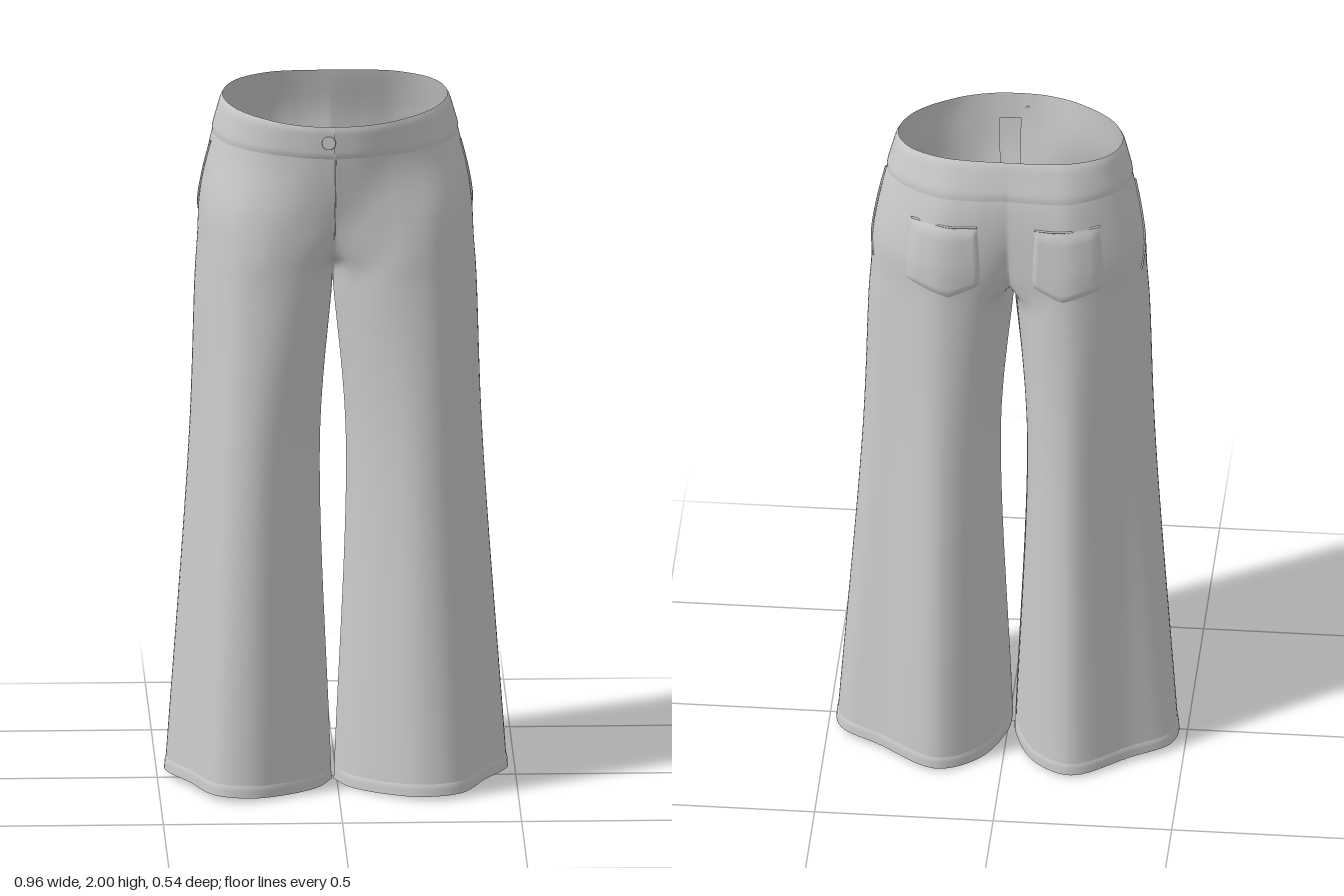
import * as THREE from 'three';
import { mergeGeometries, mergeVertices } from 'three/addons/utils/BufferGeometryUtils.js';

const material = new THREE.MeshStandardMaterial({ color: 0xcccccc, side: THREE.DoubleSide });

// Half sections [x, z], running from the inner front around the outside to the inner back
const legs = [
  [[.003, .03], [.05, .13], [.14, .215], [.24, .265], [.34, .245], [.41, .11], [.475, -.01], [.46, -.1], [.35, -.17], [.19, -.265], [.08, -.2], [.015, -.06], [.003, .03]],
  [[.036, .03], [.06, .12], [.13, .195], [.22, .235], [.3, .215], [.365, .12], [.408, 0], [.395, -.08], [.32, -.145], [.19, -.235], [.09, -.19], [.05, -.08], [.036, .03]],
  [[0, .03], [.03, .14], [.1, .2], [.19, .22], [.28, .2], [.35, .125], [.392, 0], [.38, -.08], [.32, -.145], [.19, -.222], [.08, -.19], [.025, -.09], [0, .03]],
];
const hips = [
  [[0, .16], [.05, .19], [.12, .21], [.2, .22], [.28, .195], [.345, .125], [.385, 0], [.375, -.08], [.32, -.145], [.19, -.22], [.09, -.2], [.03, -.165], [0, -.13]],
  [[0, .205], [.06, .21], [.13, .215], [.2, .21], [.275, .185], [.34, .12], [.378, 0], [.37, -.08], [.315, -.15], [.19, -.22], [.09, -.21], [.035, -.195], [0, -.18]],
  [[0, .24], [.07, .232], [.14, .212], [.2, .19], [.26, .155], [.315, .1], [.35, 0], [.34, -.07], [.29, -.135], [.185, -.2], [.1, -.205], [.04, -.2], [0, -.195]],
  [[0, .255], [.07, .248], [.14, .225], [.19, .195], [.24, .155], [.285, .1], [.313, .02], [.305, -.05], [.265, -.11], [.18, -.155], [.11, -.166], [.05, -.168], [0, -.168]],
];
const sections = [...legs, ...hips];
const CROTCH = 2, TOP = sections.length - 1, LAST = 12;

// Section heights: a wavering hem and a waist that rises towards the back
const heights = [(x) => .004 + .04 * x, () => 1, () => 1.46, () => 1.56, () => 1.68,
  (x, z) => 1.84 - .06 * z, (x, z) => 1.98 - .12 * z];

// Smooth curves running up the garment, one per section point
const columns = sections[0].map((_, j) => new THREE.CatmullRomCurve3(
  sections.map((s, k) => new THREE.Vector3(s[j][0], heights[k](...s[j]), s[j][1]))));

const rows = new Map();
function rowAt(t) {
  if (!rows.has(t)) {
    const points = columns.map((c) => c.getPoint(t / TOP));
    points.forEach((p) => { p.x = Math.max(p.x, 0); });
    const a = points[0], b = points[LAST];
    if (t <= CROTCH) {
      // The leg closes along the inseam
      a.lerp(b, .5);
      b.copy(a);
    } else a.x = b.x = 0;
    rows.set(t, new THREE.CatmullRomCurve3(points));
  }
  return rows.get(t);
}

// Point on the cloth; side is 1 for left, -1 for right
function cloth(side, u, t) {
  const p = rowAt(t).getPoint(THREE.MathUtils.clamp(u / LAST, 0, 1));
  p.x = side * p.x - .012 * Math.max(0, 1 - p.x / .48);
  return p;
}

// Point lifted off the cloth along its outward normal
function lifted(side, u, t, lift) {
  const p = cloth(side, u, t), e = .02;
  if (!lift) return p;
  const u0 = Math.max(u - e, 0), u1 = Math.min(u + e, LAST);
  const t0 = Math.max(t - e, 0), t1 = Math.min(t + e, TOP);
  const du = cloth(side, u1, t).sub(cloth(side, u0, t));
  const dt = cloth(side, u, t1).sub(cloth(side, u, t0));
  return p.addScaledVector(du.cross(dt).normalize(), side * lift);
}

// Grid surface from a point rule over a, b in 0..1
function grid(side, na, nb, rule) {
  const positions = [], index = [];
  for (let j = 0; j <= nb; j++) {
    for (let i = 0; i <= na; i++) {
      positions.push(...rule(i / na, j / nb).toArray());
      if (i === na || j === nb) continue;
      const p = j * (na + 1) + i, q = p + na + 1;
      if (side > 0) index.push(p, p + 1, q + 1, p, q + 1, q);
      else index.push(p, q + 1, p + 1, p, q, q + 1);
    }
  }
  const g = new THREE.BufferGeometry();
  g.setAttribute('position', new THREE.Float32BufferAttribute(positions, 3));
  g.setIndex(index);
  return g;
}

function mesh(name, geometry) {
  const m = new THREE.Mesh(geometry, material);
  m.name = name;
  return m;
}

function smooth(name, geometries) {
  const g = mergeVertices(mergeGeometries(geometries), 1e-5);
  g.computeVertexNormals();
  return mesh(name, g);
}

// Thin raised stitching along [u, t] points on the cloth
function seam(name, side, points, radius = .003) {
  const path = new THREE.CatmullRomCurve3(points.map(([u, t]) => lifted(side, u, t, .002)));
  return mesh(name, new THREE.TubeGeometry(path, 24, radius, 6));
}

export function createModel() {
  const group = new THREE.Group();
  group.name = 'trousers';
  const sides = [1, -1];

  // Legs and hips as one continuous cloth
  group.add(smooth('cloth', sides.map((s) =>
    grid(s, 72, 72, (a, b) => cloth(s, a * LAST, b * TOP)))));

  // Waistband, slightly raised with a rounded lower edge
  group.add(smooth('waistband', sides.map((s) =>
    grid(s, 60, 10, (a, b) => lifted(s, a * LAST, 5.22 + .78 * b, .004 * Math.min(1, b * 8, (1 - b) * 8))))));

  // Turned hems
  group.add(smooth('hems', sides.map((s) =>
    grid(s, 72, 6, (a, b) => lifted(s, a * LAST, .035 * b, .0025 * Math.min(1, (1 - b) * 4, a * 20, (1 - a) * 20))))));

  for (const s of sides) {
    const label = s > 0 ? 'left' : 'right';

    // Back patch pocket with a pointed lower edge
    const pocketBottom = (a) => 3.4 - .3 * (1 - Math.abs(2 * a - 1));
    group.add(smooth(label + 'BackPocket', [grid(s, 20, 20, (a, b) => {
      const edge = Math.min(a, 1 - a, b, 1 - b);
      return lifted(s, 8.35 + 1.9 * a, THREE.MathUtils.lerp(pocketBottom(a), 4.72, b), .007 * Math.min(1, edge * 10));
    })]));
    group.add(seam(label + 'BackPocketLip', s, [[8.35, 4.72], [9.3, 4.72], [10.25, 4.72]]));

    // Slanted front pocket opening
    group.add(seam(label + 'FrontPocket', s, [[5.9, 5.05], [6.15, 4.5], [6.5, 3.9], [7, 3.4]]));
  }

  // Fly: inner flap and outer stitching
  group.add(smooth('flyFlap', [grid(1, 8, 16, (a, b) => lifted(1, .85 * a, 3.5 + 1.9 * b, -.008))]));
  group.add(seam('flyStitching', 1, [[.02, 5.2], [.02, 4.6], [.02, 4], [.02, 3.4]], .0015));

  // Button with a raised rim
  const button = new THREE.Group();
  button.name = 'button';
  const disc = mesh('buttonDisc', new THREE.CylinderGeometry(.016, .016, .006, 24));
  disc.rotation.x = Math.PI / 2;
  const shank = mesh('buttonShank', new THREE.CylinderGeometry(.006, .006, .016, 12));
  shank.rotation.x = Math.PI / 2;
  shank.position.z = -.008;
  button.add(disc, shank, mesh('buttonRim', new THREE.TorusGeometry(.016, .0035, 8, 28)));
  button.position.set(-.03, 1.905, .263);
  group.add(button);

  // Buttonhole beside the button
  group.add(seam('buttonhole', -1, [[1.25, 5.55], [1.45, 5.46], [1.25, 5.37]], .002));
  return group;
}
